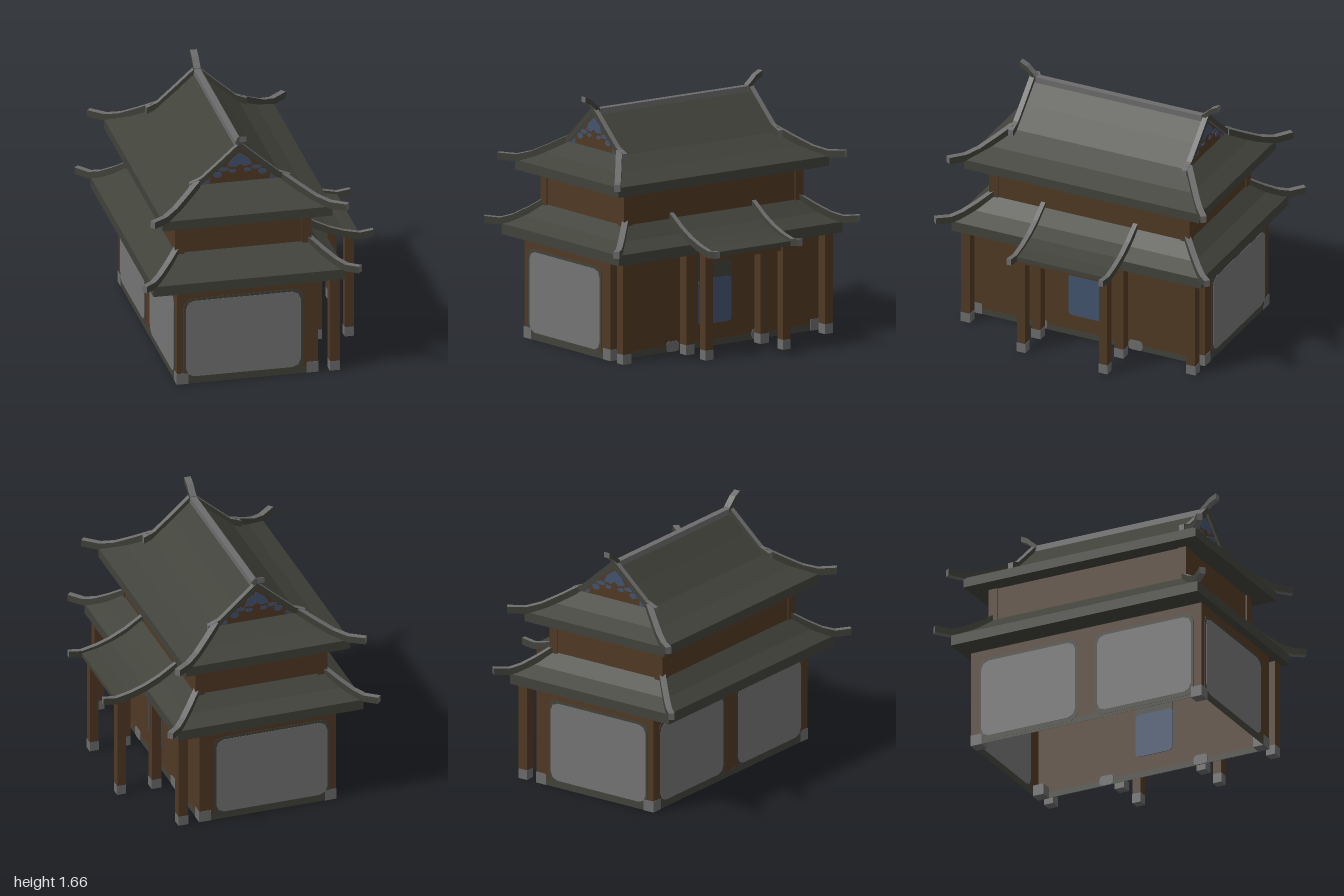
import * as THREE from 'three';

const mat = (name, color, side = THREE.FrontSide) => {
  const m = new THREE.MeshStandardMaterial({ color, side });
  m.name = name;
  return m;
};

export function createModel() {
  const wood = mat('brownWood', 0x503924, THREE.DoubleSide);
  const plaster = mat('greyPlaster', 0x747474);
  const tile = mat('darkRoofTile', 0x41423a);
  const stone = mat('greyStone', 0x6c6c6c);
  const blue = mat('bluePaint', 0x42536f);

  const model = new THREE.Group();
  model.name = 'hallWithPorch';
  // house is centred on its own axis, porch hangs out on +x
  const house = new THREE.Group();
  house.name = 'house';
  house.position.set(-0.115, 0, 0.008);
  const porch = new THREE.Group();
  porch.name = 'porch';
  porch.position.z = 0.01;
  model.add(house, porch);

  const add = (parent, name, geo, material) => {
    const m = new THREE.Mesh(geo, material);
    m.name = name;
    parent.add(m);
    return m;
  };
  const box = (parent, name, material, x0, x1, y0, y1, z0, z1) =>
    add(parent, name, new THREE.BoxGeometry(x1 - x0, y1 - y0, z1 - z0)
      .translate((x0 + x1) / 2, (y0 + y1) / 2, (z0 + z1) / 2), material);
  const poly = pts => new THREE.Shape(pts.map(p => new THREE.Vector2(...p)));

  // rectangle with softened corners
  const panelShape = (x0, x1, y0, y1, c) => poly([
    [x0, y0 + c], [x0 + c * 0.3, y0 + c * 0.3], [x0 + c, y0], [x1 - c, y0],
    [x1 - c * 0.3, y0 + c * 0.3], [x1, y0 + c], [x1, y1 - c], [x1 - c * 0.3, y1 - c * 0.3],
    [x1 - c, y1], [x0 + c, y1], [x0 + c * 0.3, y1 - c * 0.3], [x0, y1 - c]]);

  // thin plate set into a wall, visible on both sides of it
  const plate = (name, shape, material, depth, x, z, turn) => {
    const g = new THREE.ExtrudeGeometry(shape, { depth, bevelEnabled: false, curveSegments: 8 });
    g.translate(0, 0, -depth / 2).rotateY(turn).translate(x, 0, z);
    return add(house, name, g, material);
  };

  // stacked rectangular rings [halfX, halfZ, y] joined into a hipped roof
  const hippedRoof = (name, rings) => {
    const v = [];
    const c = rings.map(([x, z, y]) => [[x, y, z], [x, y, -z], [-x, y, -z], [-x, y, z]]);
    const tri = (...p) => p.forEach(q => v.push(...q));
    for (let i = 0; i < c.length - 1; i++)
      for (let k = 0; k < 4; k++) {
        const n = (k + 1) % 4, a = c[i], b = c[i + 1];
        tri(a[k], a[n], b[n]);
        tri(a[k], b[n], b[k]);
      }
    tri(c[0][0], c[0][2], c[0][1]);
    tri(c[0][0], c[0][3], c[0][2]);
    const g = new THREE.BufferGeometry();
    g.setAttribute('position', new THREE.Float32BufferAttribute(v, 3));
    g.computeVertexNormals();
    return add(house, name, g, tile);
  };

  // ridge: side profile [along, topY] of given thickness, running from (x,z) towards (dx,dz)
  const ridge = (parent, name, x, z, dx, dz, pts, thick, width, mats = [tile, stone]) => {
    const under = pts.map(([u, y]) => [u, y - thick]).reverse();
    const g = new THREE.ExtrudeGeometry(poly([...pts, ...under]), { depth: width, bevelEnabled: false });
    g.translate(0, 0, -width / 2).rotateY(Math.atan2(-dz, dx)).translate(x, 0, z);
    return add(parent, name, g, mats);
  };

  // lower walls, open underneath
  const W = 0.47, D = 0.845, H = 0.68;
  const wall = (name, hw, x, z, turn, y0, y1) =>
    add(house, name, new THREE.PlaneGeometry(hw * 2, y1 - y0)
      .translate(0, (y0 + y1) / 2, 0).rotateY(turn).translate(x, 0, z), wood);
  const faces = [['front', 0, 1, 0], ['back', 0, -1, Math.PI],
    ['left', 1, 0, Math.PI / 2], ['right', -1, 0, -Math.PI / 2]];
  for (const [n, sx, sz, turn] of faces) {
    wall(n + 'LowerWall', sx ? D : W, sx * W, sz * D, turn, 0, H);
    const half = sx ? D : W;
    plate(n + 'SillBand', panelShape(-half + 0.01, half - 0.01, 0.001, 0.04, 0.002), tile, 0.003,
      sx * W, sz * D, turn);
  }

  // plaster panels with dark frames: one on each end, two on the long plain side
  const panel = (x0, x1, x, z, turn) => {
    plate('panelFrame', panelShape(x0 - 0.015, x1 + 0.015, 0.02, 0.602, 0.05), tile, 0.005, x, z, turn);
    plate('plasterPanel', panelShape(x0, x1, 0.05, 0.585, 0.055), plaster, 0.009, x, z, turn);
  };
  panel(-0.41, 0.355, 0, D, 0);
  panel(-0.355, 0.41, 0, -D, Math.PI);
  for (const s of [-1, 1]) panel(s * 0.425 - 0.345, s * 0.425 + 0.345, -W, 0, -Math.PI / 2);

  // door on the porch side
  plate('doorTransom', panelShape(-0.14, 0.135, 0.42, 0.61, 0.01), tile, 0.005, W, 0, Math.PI / 2);
  plate('door', panelShape(-0.14, 0.13, 0.15, 0.45, 0.025), blue, 0.009, W, 0, Math.PI / 2);

  // foot stones
  for (const sx of [-1, 1]) for (const sz of [-1, 1]) {
    const cx = sx * (W - 0.037), cz = sz * (D - 0.037);
    box(house, 'cornerStone', stone, cx - 0.04, cx + 0.04, 0, 0.075, cz - 0.04, cz + 0.04);
  }
  for (const s of [-1, 1])
    plate('wallStone', panelShape(s * 0.345 - 0.05, s * 0.345 + 0.05, 0.001, 0.07, 0.02), stone, 0.009, W, 0, Math.PI / 2);

  // upper storey
  const UW = 0.455, UD = 0.725;
  for (const [n, sx, sz, turn] of faces)
    wall(n + 'UpperWall', sx ? UD : UW, sx * (UW - 0.008), sz * (UD - 0.008), turn, 0.86, 1.11);
  for (const sx of [-1, 1]) for (const sz of [-1, 1]) {
    const cx = sx * (UW - 0.032), cz = sz * (UD - 0.032);
    box(house, 'upperPost', wood, cx - 0.032, cx + 0.032, 0.86, 1.11, cz - 0.032, cz + 0.032);
  }

  // roofs
  hippedRoof('lowerRoof', [[0.64, 0.905, 0.665], [0.64, 0.905, 0.735], [0.54, 0.805, 0.795], [0.45, 0.715, 0.88]]);
  hippedRoof('upperRoof', [[0.565, 0.85, 1.1], [0.565, 0.85, 1.165], [0.42, 0.735, 1.225],
    [0.28, 0.625, 1.305], [0.14, 0.625, 1.425], [0, 0.625, 1.55]]);

  // gables with painted scrollwork
  const blob = (cx, cy, rx, ry) => new THREE.Shape().absellipse(cx, cy, rx, ry, 0, Math.PI * 2);
  for (const s of [-1, 1]) {
    const turn = s > 0 ? 0 : Math.PI;
    plate('gableBoard', poly([[-0.255, 1.308], [0.255, 1.308], [0, 1.53]]), wood, 0.006, 0, s * 0.626, turn);
    const scrolls = [poly([[-0.085, 1.42], [-0.03, 1.41], [0, 1.43], [0.03, 1.41], [0.085, 1.42], [0.06, 1.465], [0, 1.51], [-0.06, 1.465]])];
    for (const m of [-1, 1]) {
      scrolls.push(blob(m * 0.11, 1.4, 0.035, 0.014), blob(m * 0.15, 1.365, 0.03, 0.02), blob(m * 0.05, 1.385, 0.025, 0.013));
      const corner = [[m * 0.245, 1.31], [m * 0.2, 1.31], [m * 0.2, 1.345]];
      scrolls.push(poly(m < 0 ? corner : corner.reverse()));
    }
    plate('gableScrollwork', scrolls, blue, 0.009, 0, s * 0.627, turn);
  }

  // hip ridges with upturned tips, and verge ridges on the gables
  for (const sx of [-1, 1]) for (const sz of [-1, 1]) {
    ridge(house, 'lowerHipRidge', sx * 0.44, sz * 0.705, sx, sz,
      [[0, 0.915], [0.11, 0.85], [0.21, 0.8], [0.29, 0.777], [0.395, 0.785]], 0.046, 0.04);
    ridge(house, 'upperHipRidge', sx * 0.285, sz * 0.64, sx * 0.365, sz * 0.285,
      [[0, 1.345], [0.12, 1.285], [0.24, 1.23], [0.34, 1.205], [0.463, 1.21]], 0.046, 0.04);
    ridge(house, 'vergeRidge', 0, sz * 0.627, sx, 0,
      [[0, 1.585], [0.14, 1.46], [0.26, 1.355], [0.335, 1.325]], 0.045, 0.036);
  }

  // main ridge with raised ends
  ridge(house, 'mainRidge', 0, 0, 0, 1, [[-0.62, 1.57], [0.62, 1.57]], 0.04, 0.044, [stone, stone]);
  for (const s of [-1, 1])
    ridge(house, 'ridgeFinial', 0, 0, 0, s,
      [[0.6, 1.575], [0.635, 1.605], [0.665, 1.635], [0.715, 1.66]], 0.038, 0.046);

  // columns on stone feet: four along the wall, two under the porch edge
  const column = (x, z, w, top) => {
    const h = w / 2;
    box(porch, 'column', wood, x - h, x + h, 0.065, top, z - h, z + h);
    box(porch, 'columnFoot', stone, x - h - 0.001, x + h + 0.001, 0, 0.066, z - h - 0.001, z + h + 0.001);
  };
  for (const z of [-0.815, -0.295, 0.305, 0.815]) column(0.466, z, 0.066, 0.67);
  column(0.681, 0.308, 0.06, 0.715);
  column(0.707, -0.298, 0.06, 0.715);
  box(porch, 'porchBeam', wood, 0.67, 0.715, 0.655, 0.705, -0.27, 0.28);

  // porch roof sheet and its two edge ridges
  ridge(porch, 'porchRoof', 0, 0, 1, 0,
    [[0.34, 0.885], [0.45, 0.81], [0.55, 0.765], [0.65, 0.735], [0.75, 0.718]], 0.03, 0.65, [tile, tile]);
  for (const s of [-1, 1])
    ridge(porch, 'porchEdgeRidge', 0, s * 0.333, 1, 0,
      [[0.33, 0.92], [0.45, 0.84], [0.55, 0.79], [0.65, 0.755], [0.75, 0.733], [0.84, 0.745]], 0.046, 0.032);

  return model;
}
